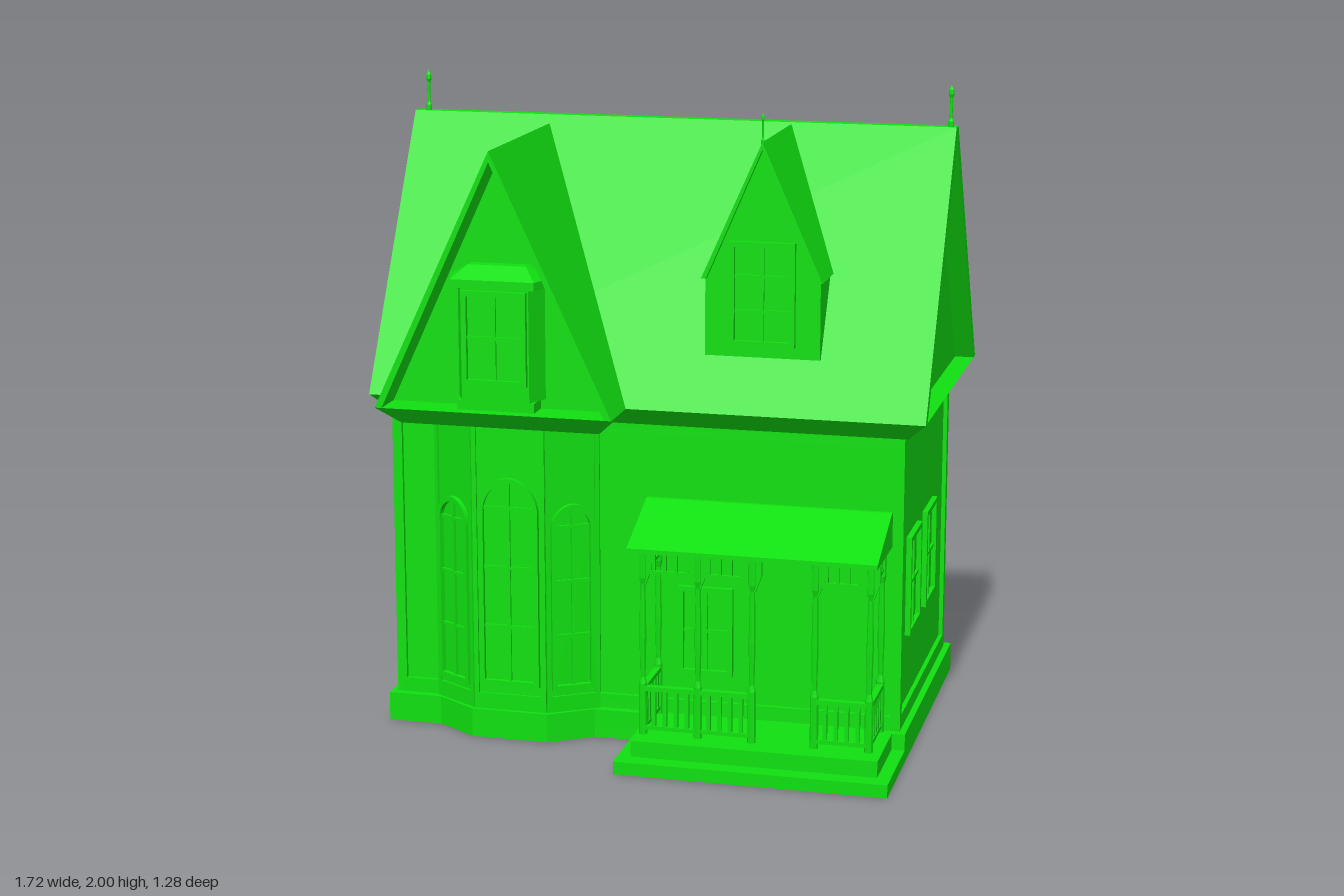
import * as THREE from 'three';
import { ConvexGeometry } from 'three/addons/geometries/ConvexGeometry.js';

const green = new THREE.MeshStandardMaterial({ color: 0x10e010, flatShading: true });

function add(parent, name, geometry) {
  const mesh = new THREE.Mesh(geometry, green);
  mesh.name = name;
  parent.add(mesh);
  return mesh;
}

function group(parent, name, x = 0, y = 0, z = 0, turn = 0) {
  const g = new THREE.Group();
  g.name = name;
  g.position.set(x, y, z);
  g.rotation.y = turn;
  parent.add(g);
  return g;
}

// Box given by its limits
function box(parent, name, x0, x1, y0, y1, z0, z1) {
  const m = add(parent, name, new THREE.BoxGeometry(x1 - x0, y1 - y0, z1 - z0));
  m.position.set((x0 + x1) / 2, (y0 + y1) / 2, (z0 + z1) / 2);
  return m;
}

// Convex solid between flat outlines of [x, z] at two heights
function loft(parent, name, low, y0, high, y1) {
  const pts = [...low.map(([x, z]) => new THREE.Vector3(x, y0, z)),
    ...high.map(([x, z]) => new THREE.Vector3(x, y1, z))];
  return add(parent, name, new ConvexGeometry(pts));
}

const rect = (x0, x1, z0, z1) => [[x0, z0], [x1, z0], [x1, z1], [x0, z1]];
const polygon = (pts) => new THREE.Shape(pts.map(([x, y]) => new THREE.Vector2(x, y)));
const extrude = (shape, depth) =>
  new THREE.ExtrudeGeometry(shape, { depth, bevelEnabled: false, curveSegments: 12 });

// Outline of an opening, square or round headed, standing on y = y0
function opening(w, y0, y1, arched) {
  const s = new THREE.Shape();
  const r = w / 2;
  s.moveTo(-r, y0);
  s.lineTo(r, y0);
  if (arched) {
    s.lineTo(r, y1 - r * 1.15);
    s.absellipse(0, y1 - r * 1.15, r, r * 1.15, 0, Math.PI, false, 0);
  } else {
    s.lineTo(r, y1);
    s.lineTo(-r, y1);
  }
  s.closePath();
  return s;
}

// Flat border with an opening, facing +z
function border(parent, name, w, y0, y1, t, depth, arched = false, bottom = t) {
  const s = opening(w, y0, y1, arched);
  s.holes.push(opening(w - 2 * t, y0 + bottom, y1 - t, arched));
  return add(parent, name, extrude(s, depth));
}

// Window with frame and glazing bars, facing +z
function makeWindow(parent, name, x, z, turn, w, y0, y1, rows, arched = false) {
  const g = group(parent, name, x, 0, z, turn);
  border(g, 'windowFrame', w, y0, y1, 0.016, 0.018, arched);
  add(g, 'glass', extrude(opening(w - 0.02, y0 + 0.01, y1 - 0.01, arched), 0.003));
  box(g, 'uprightBar', -0.005, 0.005, y0 + 0.01, y1 - 0.01, 0, 0.011);
  const top = arched ? y1 - w / 2 : y1;
  for (let i = 1; i < rows + (arched ? 1 : 0); i++) {
    const y = y0 + (top - y0) * i / rows;
    box(g, 'crossBar', -w / 2 + 0.01, w / 2 - 0.01, y - 0.005, y + 0.005, 0, 0.011);
  }
  return g;
}

// Pitched roof shell about x = 0, running along z from z0 to z1
function roofShell(parent, name, half, y0, y1, t, z0, z1, flat = 0) {
  const g = extrude(polygon([[half, y0], [flat, y1], [-flat, y1], [-half, y0],
    [-half + t, y0], [0, y1 - t * 1.5], [half - t, y0]]), z1 - z0);
  return add(parent, name, g.translate(0, 0, z0));
}

function finial(parent, x, y, z, h, r) {
  const profile = [[0, 0], [1, 0], [1, 0.15], [0.5, 0.22], [0.5, 0.7], [1, 0.78], [0.9, 0.88], [0, 1]];
  const geo = new THREE.LatheGeometry(profile.map(([a, b]) => new THREE.Vector2(a * r, b * h)), 8);
  add(parent, 'finial', geo).position.set(x, y, z);
}

function buildBody(house) {
  box(house, 'foundation', -0.83, 0.81, 0, 0.09, -0.59, 0.335);
  box(house, 'walls', -0.797, 0.777, 0.09, 1.0, -0.547, 0.297);
  // Raised borders around each wall
  const sides = [['frontTrim', -0.01, 0.295, 0, 1.6], ['backTrim', -0.01, -0.545, Math.PI, 1.6],
    ['rightTrim', 0.775, -0.125, Math.PI / 2, 0.87], ['leftTrim', -0.795, -0.125, -Math.PI / 2, 0.87]];
  for (const [name, x, z, turn, w] of sides) {
    border(group(house, name, x, 0, z, turn), 'wallBorder', w, 0.09, 1.0, 0.03, 0.015, false, 0.045);
  }
  for (const z of [0.07, -0.232]) {
    makeWindow(house, 'sideWindow', 0.776, z, Math.PI / 2, 0.2, 0.35, 0.66, 2);
  }
  makeWindow(house, 'porchWindow', 0.185, 0.296, 0, 0.17, 0.22, 0.5, 2);
}

function buildMainRoof(house) {
  loft(house, 'eaves', rect(-0.81, 0.8, -0.56, 0.31), 1.0, rect(-0.86, 0.86, -0.64, 0.375), 1.06);
  const roof = group(house, 'mainRoof', 0, 0, -0.1325, Math.PI / 2);
  roofShell(roof, 'roofShell', 0.5075, 1.06, 1.873, 0.035, -0.86, 0.86, 0.02);
  const gable = extrude(polygon([[-0.48, 1.05], [0.48, 1.05], [0, 1.83]]), 1.6);
  add(roof, 'gableWalls', gable.translate(0, 0, -0.8));
  finial(house, -0.82, 1.87, -0.13, 0.13, 0.009);
  finial(house, 0.84, 1.87, -0.13, 0.13, 0.009);
}

function buildFrontGable(house) {
  const g = group(house, 'frontGable', -0.415);
  loft(g, 'gableEaves', rect(-0.31, 0.31, 0.2, 0.465), 1.0, rect(-0.368, 0.368, 0.2, 0.54), 1.06);
  roofShell(g, 'gableRoof', 0.368, 1.06, 1.847, 0.022, -0.1, 0.54);
  const wall = extrude(polygon([[-0.355, 1.05], [0.355, 1.05], [0, 1.825]]), 0.23);
  add(g, 'gableWall', wall.translate(0, 0, 0.2));

  // Small projecting window under the gable
  const plan = [[-0.14, 0.42], [0.14, 0.42], [0.105, 0.5], [-0.105, 0.5]];
  loft(g, 'orielBox', plan, 1.09, plan, 1.44);
  box(g, 'orielSill', -0.12, 0.12, 1.06, 1.09, 0.42, 0.5);
  makeWindow(g, 'orielWindow', 0, 0.498, 0, 0.2, 1.14, 1.425, 2);
  const cap = [[-0.16, 0.42], [0.16, 0.42], [0.13, 0.525], [-0.13, 0.525]];
  loft(g, 'orielCornice', cap, 1.435, cap, 1.46);
  loft(g, 'orielRoof', cap, 1.46, rect(-0.09, 0.09, 0.42, 0.47), 1.497);
}

function buildDormer(house) {
  const g = group(house, 'dormer', 0.352);
  roofShell(g, 'dormerRoof', 0.184, 1.455, 1.868, 0.015, -0.105, 0.31);
  const wall = extrude(polygon([[-0.175, 1.22], [0.175, 1.22], [0.175, 1.452], [0, 1.845], [-0.175, 1.452]]), 0.27);
  add(g, 'dormerWall', wall.translate(0, 0, 0.02));
  makeWindow(g, 'dormerWindow', 0, 0.288, 0, 0.2, 1.255, 1.57, 3);
  finial(g, 0, 1.86, 0.303, 0.095, 0.005);
}

function buildBay(house) {
  const g = group(house, 'bayWindow', -0.41);
  const plan = (a, b, z) => [[-a, 0.25], [a, 0.25], [a, 0.31], [b, z], [-b, z], [-a, 0.31]];
  const foot = [[-0.29, 0.3], [0.29, 0.3], [0.25, 0.335], [0.12, 0.42], [-0.12, 0.42], [-0.25, 0.335]];
  loft(g, 'bayFoundation', foot, 0, foot, 0.09);
  const walls = plan(0.26, 0.115, 0.4);
  loft(g, 'bayWalls', walls, 0.09, walls, 1.0);
  makeWindow(g, 'bayFrontWindow', 0, 0.398, 0, 0.19, 0.17, 0.83, 3, true);
  border(group(g, 'bayFrontTrim', 0, 0, 0.395), 'bayBorder', 0.23, 0.09, 1.0, 0.014, 0.012, false, 0.05);
  const turn = Math.atan2(0.09, 0.145);
  for (const s of [-1, 1]) {
    const f = group(g, 'baySide', s * 0.1875, 0, 0.355, s * turn);
    makeWindow(f, 'baySideWindow', 0, -0.002, 0, 0.14, 0.16, 0.75, 3, true);
    border(f, 'bayBorder', 0.17, 0.09, 0.99, 0.014, 0.007, false, 0.05);
  }
}

// Rails with balusters below and a spindle frieze above, along +x
function railing(parent, name, x, z, turn, length) {
  const g = group(parent, name, x, 0, z, turn);
  for (const [y0, y1, t] of [[0.105, 0.117, 0.008], [0.228, 0.242, 0.01], [0.594, 0.604, 0.006]]) {
    box(g, 'rail', 0, length, y0, y1, -t, t);
  }
  const n = Math.round(length / 0.033);
  for (let i = 1; i < n; i++) {
    const at = length * i / n;
    box(g, 'baluster', at - 0.006, at + 0.006, 0.115, 0.23, -0.006, 0.006);
    box(g, 'spindle', at - 0.005, at + 0.005, 0.6, 0.665, -0.005, 0.005);
  }
}

function buildPorch(house) {
  const g = group(house, 'porch');
  box(g, 'lowerStep', -0.02, 0.81, 0, 0.04, 0.3, 0.64);
  box(g, 'porchFloor', 0.02, 0.77, 0.04, 0.09, 0.3, 0.585);
  const roof = extrude(polygon([[0.29, 0.664], [0.55, 0.664], [0.55, 0.678], [0.31, 0.772], [0.29, 0.772]]), 0.755);
  add(g, 'porchRoof', roof.rotateY(-Math.PI / 2).translate(0.755, 0, 0));

  const profile = [[0.013, 0.09], [0.013, 0.25], [0.008, 0.27], [0.011, 0.4], [0.008, 0.56], [0.013, 0.58], [0.013, 0.665]]
    .map(([r, y]) => new THREE.Vector2(r, y));
  const posts = [[0.04, 0.51], [0.21, 0.51], [0.375, 0.51], [0.565, 0.51], [0.73, 0.51], [0.04, 0.32], [0.73, 0.32]];
  for (const [x, z] of posts) {
    add(g, 'porchPost', new THREE.LatheGeometry(profile, 8)).position.set(x, 0, z);
    if (z < 0.5) continue;
    const bracket = extrude(polygon([[-0.01, 0.56], [0.01, 0.56], [0.028, 0.61], [0.028, 0.665], [-0.028, 0.665], [-0.028, 0.61]]), 0.012);
    add(g, 'postBracket', bracket).position.set(x, 0, z - 0.006);
  }
  railing(g, 'frontRailing', 0.04, 0.51, 0, 0.17);
  railing(g, 'frontRailing', 0.21, 0.51, 0, 0.165);
  railing(g, 'frontRailing', 0.565, 0.51, 0, 0.165);
  for (const x of [0.04, 0.73]) railing(g, 'sideRailing', x, 0.51, Math.PI / 2, 0.2);
}

export function createModel() {
  const house = new THREE.Group();
  house.name = 'house';
  for (const build of [buildBody, buildMainRoof, buildFrontGable, buildDormer, buildBay, buildPorch]) build(house);
  return house;
}
